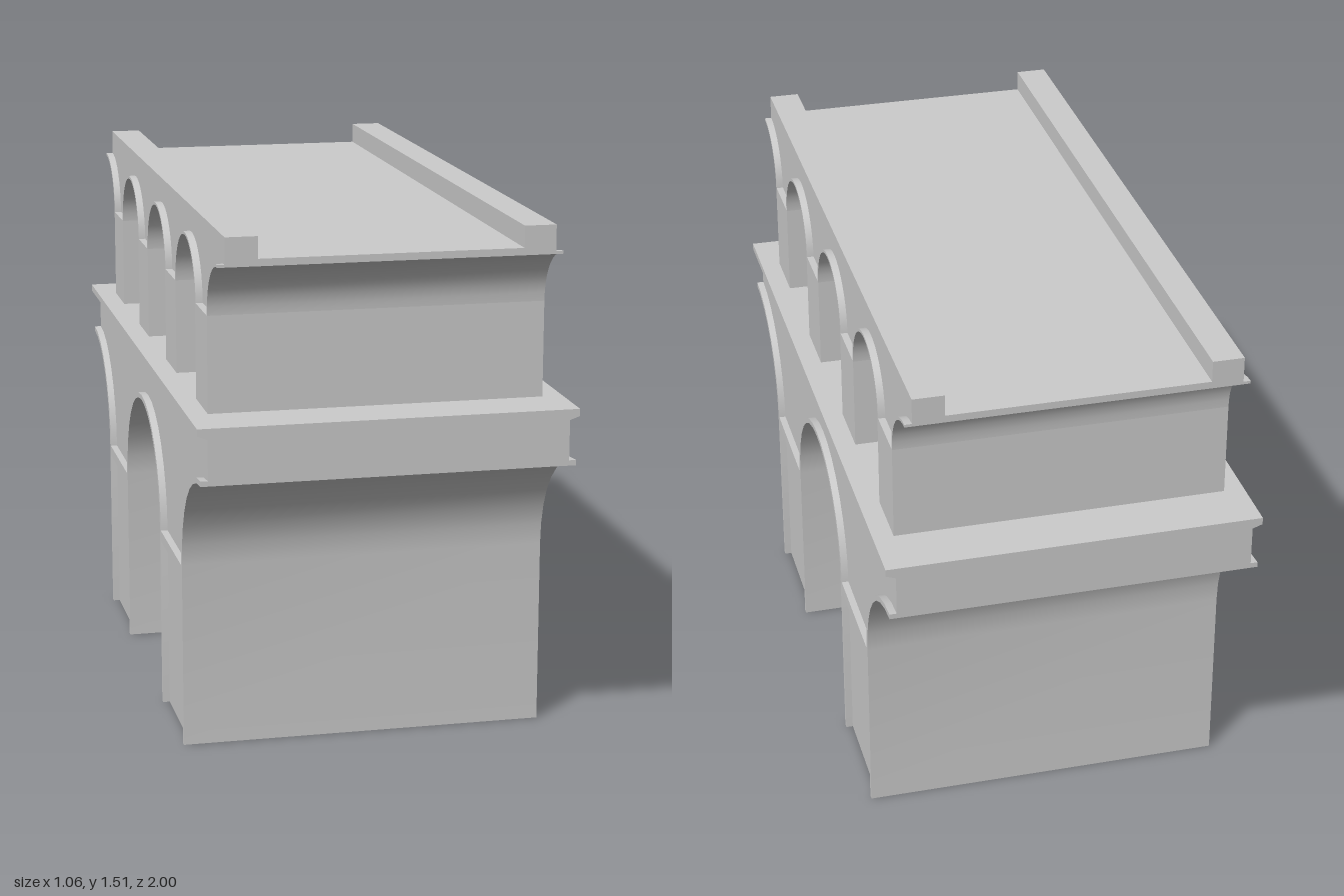
import * as THREE from 'three';
import { toCreasedNormals } from 'three/addons/utils/BufferGeometryUtils.js';

const stone = new THREE.MeshStandardMaterial({ color: 0xcccccc });

export function createModel() {
  const group = new THREE.Group();
  group.name = 'archedBridge';

  const add = (name, geometry) => {
    const mesh = new THREE.Mesh(geometry, stone);
    mesh.name = name;
    group.add(mesh);
    return mesh;
  };

  const box = (name, w, h, d, x, y, z) =>
    add(name, new THREE.BoxGeometry(w, h, d)).position.set(x, y, z);

  // Extrudes a (z, y) outline across the bridge, centred on x = 0
  const extrudeAcross = (name, points, width) => {
    const geo = new THREE.ExtrudeGeometry(new THREE.Shape(points), { depth: width, bevelEnabled: false });
    geo.translate(0, 0, -width / 2).rotateY(Math.PI / 2);
    return add(name, toCreasedNormals(geo, 0.6));
  };

  // Arch line from low to high z; arches at the two ends are cut in half
  const archLine = (c, r, spring, base, steps) => {
    const atStart = c < -0.99, atEnd = c > 0.99;
    const from = atStart ? steps / 2 : 0, to = atEnd ? steps / 2 : steps;
    const pts = [];
    if (!atStart && base < spring) pts.push(new THREE.Vector2(c - r, base));
    for (let i = from; i <= to; i++) {
      const a = Math.PI * (1 - i / steps);
      pts.push(new THREE.Vector2(c + r * Math.cos(a), spring + r * Math.sin(a)));
    }
    if (!atEnd && base < spring) pts.push(new THREE.Vector2(c + r, base));
    return pts;
  };

  // A row of arches: wall with openings, plus a projecting lining in each
  const arcade = (name, { centres, r, trim, spring, base, top, wallWidth, trimWidth, steps }) => {
    const outline = centres.flatMap((c) => archLine(c, r + trim, spring, base, steps));
    outline.push(new THREE.Vector2(1, top), new THREE.Vector2(-1, top));
    extrudeAcross(name + 'Wall', outline, wallWidth);
    for (const c of centres) {
      const inner = archLine(c, r, spring, base, steps);
      const outer = archLine(c, r + trim, spring, base, steps).reverse();
      extrudeAcross(name + 'ArchTrim', [...inner, ...outer], trimWidth);
    }
  };

  // Lower tier, with piers running down to the ground
  arcade('lower', {
    centres: [-1, 0, 1], r: 0.312, trim: 0.015, spring: 0.53, base: 0,
    top: 0.97, wallWidth: 1.0, trimWidth: 1.04, steps: 16,
  });
  for (const z of [-0.5, 0.5]) box('pierBand', 1.04, 0.032, 0.346, 0, 0.512, z);

  // Cornice slab between the tiers
  const cornice = new THREE.Shape([
    [-0.5, 0.97], [0.5, 0.97], [0.528, 0.98], [0.528, 1], [-0.528, 1], [-0.528, 0.98],
  ].map(([x, y]) => new THREE.Vector2(x, y)));
  add('cornice', new THREE.ExtrudeGeometry(cornice, { depth: 2, bevelEnabled: false }).translate(0, 0, -1));

  // Upper tier, standing on wider piers
  arcade('upper', {
    centres: [-1, -0.5, 0, 0.5, 1], r: 0.16, trim: 0.008, spring: 1.27, base: 1.27,
    top: 1.45, wallWidth: 0.9, trimWidth: 0.94, steps: 20,
  });
  for (const z of [-0.75, -0.25, 0.25, 0.75]) box('upperPier', 0.94, 0.27, 0.18, 0, 1.135, z);

  // Parapets along both sides of the deck
  for (const side of [-1, 1]) box('parapet', 0.088, 0.06, 2, side * 0.406, 1.48, 0);

  return group;
}
